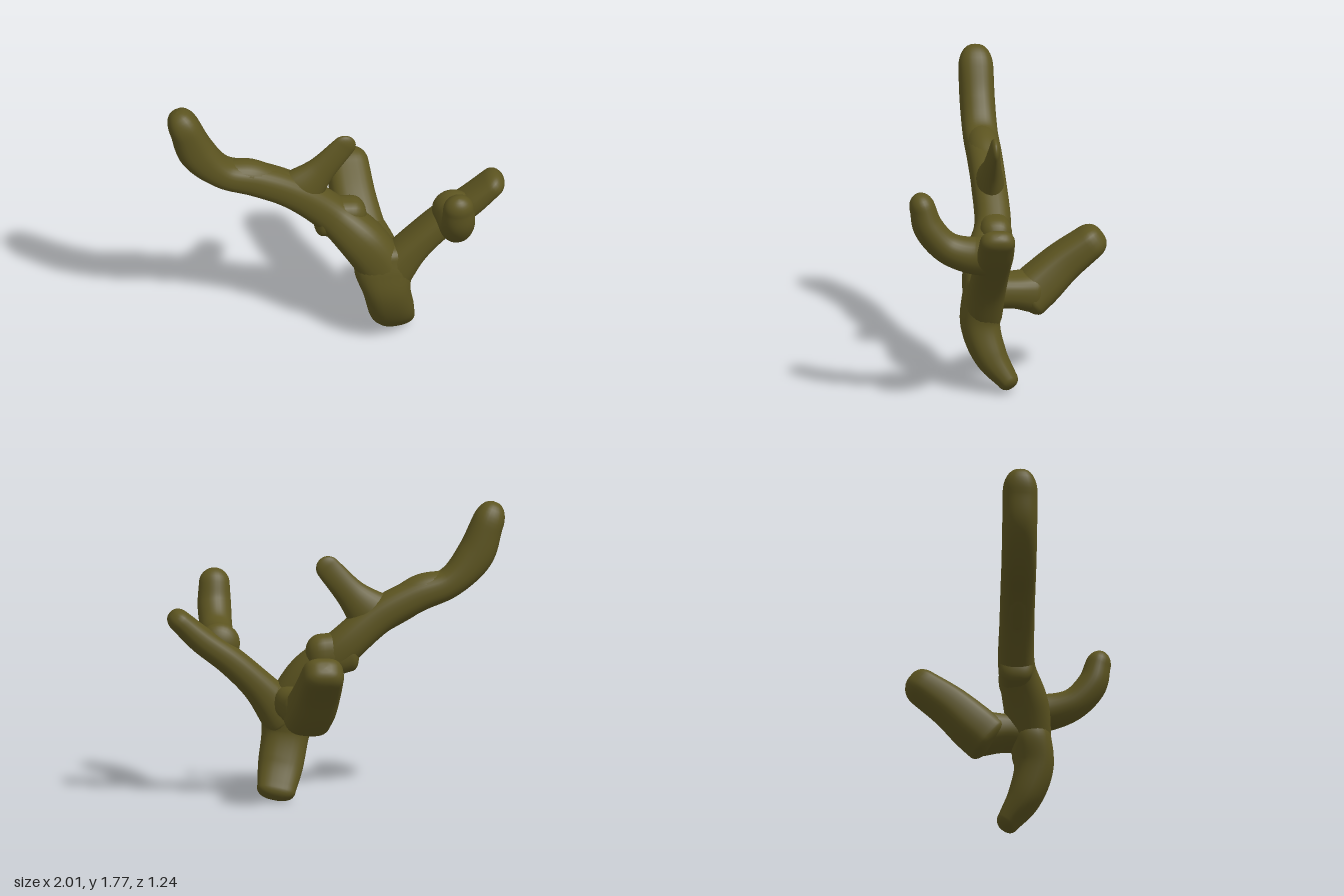
import * as THREE from 'three';

const SIDES = 28;
const material = new THREE.MeshStandardMaterial({ color: 0x5c5420, roughness: 0.9 });

// Sweeps a rounded section along a path.
// rows: [x, y, z, half-width along `side`, half-width across it]
// power > 2 squares the section off; cap is the length of the rounded tip.
function branch(name, rows, side, { power = 2, cap = 0.08, rootCap = 0.05 } = {}) {
  const path = new THREE.CatmullRomCurve3(rows.map(r => new THREE.Vector3(r[0], r[1], r[2])), false, 'centripetal');
  const sizes = new THREE.CatmullRomCurve3(rows.map(r => new THREE.Vector3(r[3], r[4], 0)), false, 'catmullrom', 0.5);
  const positions = [], index = [];
  let rings = 0;

  function ring(t, offset, scale) {
    const tangent = path.getTangent(t);
    const centre = path.getPoint(t).addScaledVector(tangent, offset);
    const size = sizes.getPoint(t);
    const u = side.clone().addScaledVector(tangent, -side.dot(tangent)).normalize();
    const v = tangent.clone().cross(u);
    for (let i = 0; i < SIDES; i++) {
      const angle = i / SIDES * Math.PI * 2, c = Math.cos(angle), s = Math.sin(angle);
      const p = centre.clone()
        .addScaledVector(u, Math.sign(c) * Math.abs(c) ** (2 / power) * size.x * scale)
        .addScaledVector(v, Math.sign(s) * Math.abs(s) ** (2 / power) * size.y * scale);
      positions.push(p.x, p.y, p.z);
    }
    rings++;
  }

  const capSteps = 8, steps = (rows.length - 1) * 8;
  for (let i = 0; i < capSteps; i++) {
    const a = i / capSteps * Math.PI / 2;
    ring(0, -rootCap * Math.cos(a), Math.max(Math.sin(a) ** (2 / power), 0.002));
  }
  for (let i = 0; i <= steps; i++) ring(i / steps, 0, 1);
  for (let i = 1; i <= capSteps; i++) {
    const a = i / capSteps * Math.PI / 2;
    ring(1, cap * Math.sin(a), Math.max(Math.cos(a) ** (2 / power), 0.002));
  }

  for (let r = 0; r < rings - 1; r++) {
    for (let i = 0; i < SIDES; i++) {
      const a = r * SIDES + i, b = r * SIDES + (i + 1) % SIDES;
      index.push(a, b, a + SIDES, b, b + SIDES, a + SIDES);
    }
  }
  const geometry = new THREE.BufferGeometry();
  geometry.setAttribute('position', new THREE.Float32BufferAttribute(positions, 3));
  geometry.setIndex(index);
  geometry.computeVertexNormals();
  const mesh = new THREE.Mesh(geometry, material);
  mesh.name = name;
  return mesh;
}

export function createModel() {
  const group = new THREE.Group();
  group.name = 'branchingCoral';
  const X = new THREE.Vector3(1, 0, 0), Z = new THREE.Vector3(0, 0, 1);

  group.add(
    // Curved foot and trunk, widening into the fork
    branch('trunk', [
      [0.368, 0.06, 0.005, 0.115, 0.065],
      [0.327, 0.2, 0.1, 0.135, 0.1],
      [0.29, 0.38, 0.155, 0.142, 0.117],
      [0.275, 0.52, 0.14, 0.175, 0.122],
      [0.275, 0.62, 0.125, 0.165, 0.115],
    ], X, { power: 2.5, cap: 0.075, rootCap: 0.06 }),

    // Long limb sweeping up and out
    branch('longLimb', [
      [0.29, 0.5, 0.14, 0.12, 0.14],
      [0.15, 0.72, 0.105, 0.135, 0.14],
      [-0.02, 0.89, 0.045, 0.11, 0.115],
      [-0.25, 1.085, 0.04, 0.104, 0.105],
      [-0.48, 1.205, 0.04, 0.104, 0.1],
      [-0.68, 1.28, 0.04, 0.104, 0.09],
      [-0.83, 1.44, 0.04, 0.104, 0.11],
      [-0.902, 1.62, 0.04, 0.104, 0.095],
    ], Z, { power: 2.4, cap: 0.145 }),
    branch('limbKnob', [
      [-0.08, 0.87, 0.04, 0.1, 0.11],
      [0.0, 0.865, 0.04, 0.1, 0.125],
      [0.09, 0.86, 0.04, 0.1, 0.125],
    ], Z, { power: 2.5, cap: 0.095 }),
    branch('limbBump', [
      [-0.67, 1.265, 0.04, 0.095, 0.085],
      [-0.52, 1.235, 0.04, 0.1, 0.1],
      [-0.4, 1.165, 0.04, 0.098, 0.105],
      [-0.27, 1.1, 0.04, 0.09, 0.11],
    ], Z, { cap: 0.06 }),
    // Flat side twig tapering to a thin edge
    branch('twig', [
      [-0.26, 1.04, 0.04, 0.095, 0.21],
      [-0.19, 1.115, 0.04, 0.085, 0.145],
      [-0.085, 1.225, 0.04, 0.057, 0.093],
      [0.05, 1.38, 0.04, 0.03, 0.073],
    ], Z, { cap: 0.075 }),

    // Shorter limb on the other side of the fork
    branch('shortLimb', [
      [0.3, 0.48, 0.14, 0.115, 0.14],
      [0.455, 0.665, 0.13, 0.11, 0.1],
      [0.62, 0.82, 0.125, 0.108, 0.088],
      [0.8, 0.955, 0.125, 0.108, 0.08],
      [0.925, 1.067, 0.128, 0.105, 0.068],
    ], Z, { power: 2.4, cap: 0.08 }),
    // Prong reaching forward, then up
    branch('frontProng', [
      [0.69, 0.925, 0.15, 0.125, 0.125],
      [0.682, 0.925, 0.25, 0.105, 0.112],
      [0.67, 0.975, 0.4, 0.097, 0.095],
      [0.665, 1.1, 0.51, 0.1, 0.09],
      [0.66, 1.22, 0.545, 0.092, 0.077],
    ], X, { cap: 0.095, rootCap: 0.08 }),

    // Thick squarish stub reaching back, with a neck to the trunk
    branch('stubNeck', [
      [0.25, 0.58, 0.1, 0.13, 0.11],
      [0.235, 0.575, -0.03, 0.135, 0.105],
      [0.21, 0.56, -0.15, 0.14, 0.125],
    ], X, { power: 2.5 }),
    branch('backStub', [
      [0.205, 0.525, -0.13, 0.145, 0.135],
      [0.185, 0.6, -0.22, 0.143, 0.132],
      [0.168, 0.71, -0.345, 0.134, 0.117],
      [0.163, 0.825, -0.5, 0.125, 0.1],
    ], X, { power: 2.8, cap: 0.11, rootCap: 0.06 }),
  );
  return group;
}
